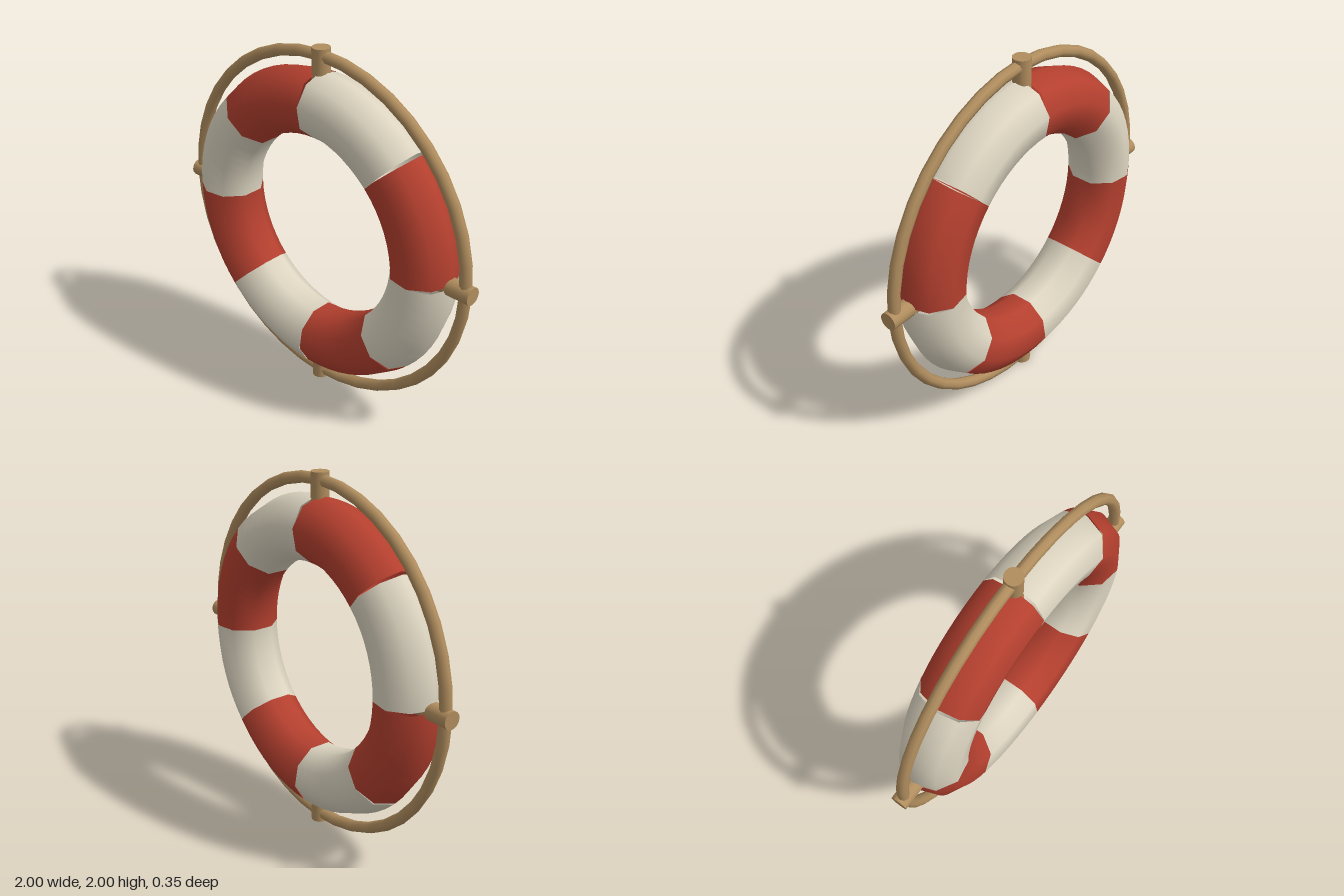
import * as THREE from 'three';

const RING = 0.702, TUBE = 0.178, SIDES = 9, STEPS = 8, ARC = Math.PI / 4;

const material = (name, color, side = THREE.FrontSide) =>
  Object.assign(new THREE.MeshStandardMaterial({ color, side }), { name });

// One eighth of the float; its end rings lean slightly so that a wedge opens at each joint.
function segmentGeometry() {
  const geometry = new THREE.TorusGeometry(RING, TUBE, SIDES, STEPS, ARC);
  const position = geometry.attributes.position;
  const axis = new THREE.Vector3(0, 0, 1);
  const p = new THREE.Vector3();
  const lean = ARC / STEPS / 2;
  for (let j = 0; j <= SIDES; j++) {
    for (const [i, angle, sign] of [[0, 0, 1], [STEPS, ARC, -1]]) {
      const index = j * (STEPS + 1) + i;
      const centre = new THREE.Vector3(RING * Math.cos(angle), RING * Math.sin(angle), 0);
      p.fromBufferAttribute(position, index).sub(centre).applyAxisAngle(axis, sign * lean).add(centre);
      position.setXYZ(index, p.x, p.y, p.z);
    }
  }
  return geometry;
}

export function createModel() {
  const model = new THREE.Group();
  model.name = 'lifebuoy';
  const red = material('red', 0xb5402f, THREE.DoubleSide);
  const cream = material('cream', 0xddd5c1, THREE.DoubleSide);
  const tan = material('ropeTan', 0xb08d5e);

  const add = (name, geometry, mat, turn = 0) => {
    const mesh = new THREE.Mesh(geometry, mat);
    mesh.name = name;
    mesh.position.y = 1;
    mesh.rotation.z = turn;
    model.add(mesh);
  };

  // Float of alternating red and cream segments
  const segment = segmentGeometry();
  for (let i = 0; i < 8; i++) {
    add(`floatSegment${i + 1}`, segment, i % 2 ? cream : red, i * ARC);
  }

  // Grab rope around the float
  add('grabRope', new THREE.TorusGeometry(0.958, 0.032, 8, 40), tan);

  // Four rope holders reaching into the float
  const holder = new THREE.CylinderGeometry(0.048, 0.048, 0.28, 16).translate(0, 0.86, 0);
  for (let i = 0; i < 4; i++) add(`ropeHolder${i + 1}`, holder, tan, i * Math.PI / 2);

  return model;
}
